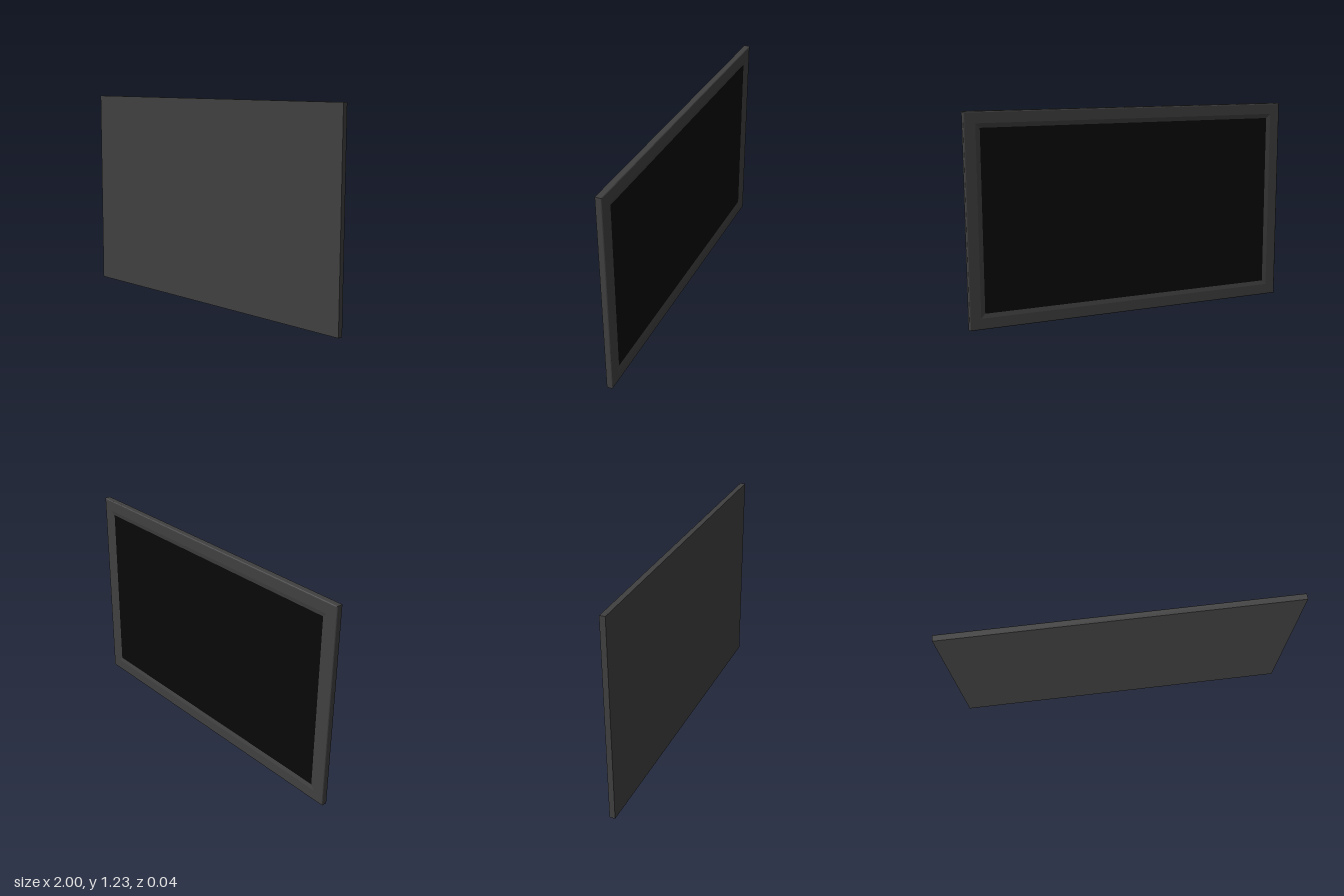
import * as THREE from 'three';

const W = 2, H = 1.225, FRONT = 0.018, BACK = -0.018;

// Lofts rectangular loops, each given as [inset from the outline, z], front to back.
function loftRectangles(profile, capFront) {
  const loops = profile.map(([inset, z]) => {
    const x = W / 2 - inset;
    return [[-x, inset, z], [x, inset, z], [x, H - inset, z], [-x, H - inset, z]];
  });
  const pos = [];
  const tri = (...corners) => corners.forEach((c) => pos.push(...c));
  if (capFront) {
    const [a, b, c, d] = loops[0];
    tri(a, b, c);
    tri(a, c, d);
  }
  for (let i = 0; i < loops.length - 1; i++) {
    for (let k = 0; k < 4; k++) {
      const n = (k + 1) % 4;
      const a = loops[i][k], b = loops[i][n], a2 = loops[i + 1][k], b2 = loops[i + 1][n];
      tri(a, a2, b);
      tri(b, a2, b2);
    }
  }
  const geo = new THREE.BufferGeometry();
  geo.setAttribute('position', new THREE.Float32BufferAttribute(pos, 3));
  geo.computeVertexNormals();
  return geo;
}

export function createModel() {
  const group = new THREE.Group();
  group.name = 'flatPanel';
  const frameMat = new THREE.MeshStandardMaterial({ color: 0x404040 });
  const screenMat = new THREE.MeshStandardMaterial({ color: 0x080808 });

  const add = (name, geo, mat) => {
    const mesh = new THREE.Mesh(geo, mat);
    mesh.name = name;
    group.add(mesh);
    return mesh;
  };

  // Plain front plate, straight sides and a rounded rear edge
  const r = 0.007;
  const casing = [[0, FRONT]];
  for (let i = 0; i <= 3; i++) {
    const t = (i / 3) * Math.PI / 2;
    casing.push([r * (1 - Math.cos(t)), BACK + r * (1 - Math.sin(t))]);
  }
  casing.push([0.066, BACK]);
  add('casing', loftRectangles(casing, true), frameMat);

  // Sloped inner border leading down to the screen
  const inner = 0.091, screenZ = -0.013;
  add('innerBezel', loftRectangles([[0.066, BACK], [inner, screenZ]], false), frameMat);

  // Recessed dark screen, facing the rear
  const screen = add('screen', new THREE.PlaneGeometry(W - 2 * inner, H - 2 * inner), screenMat);
  screen.rotation.y = Math.PI;
  screen.position.set(0, H / 2, screenZ);

  return group;
}
